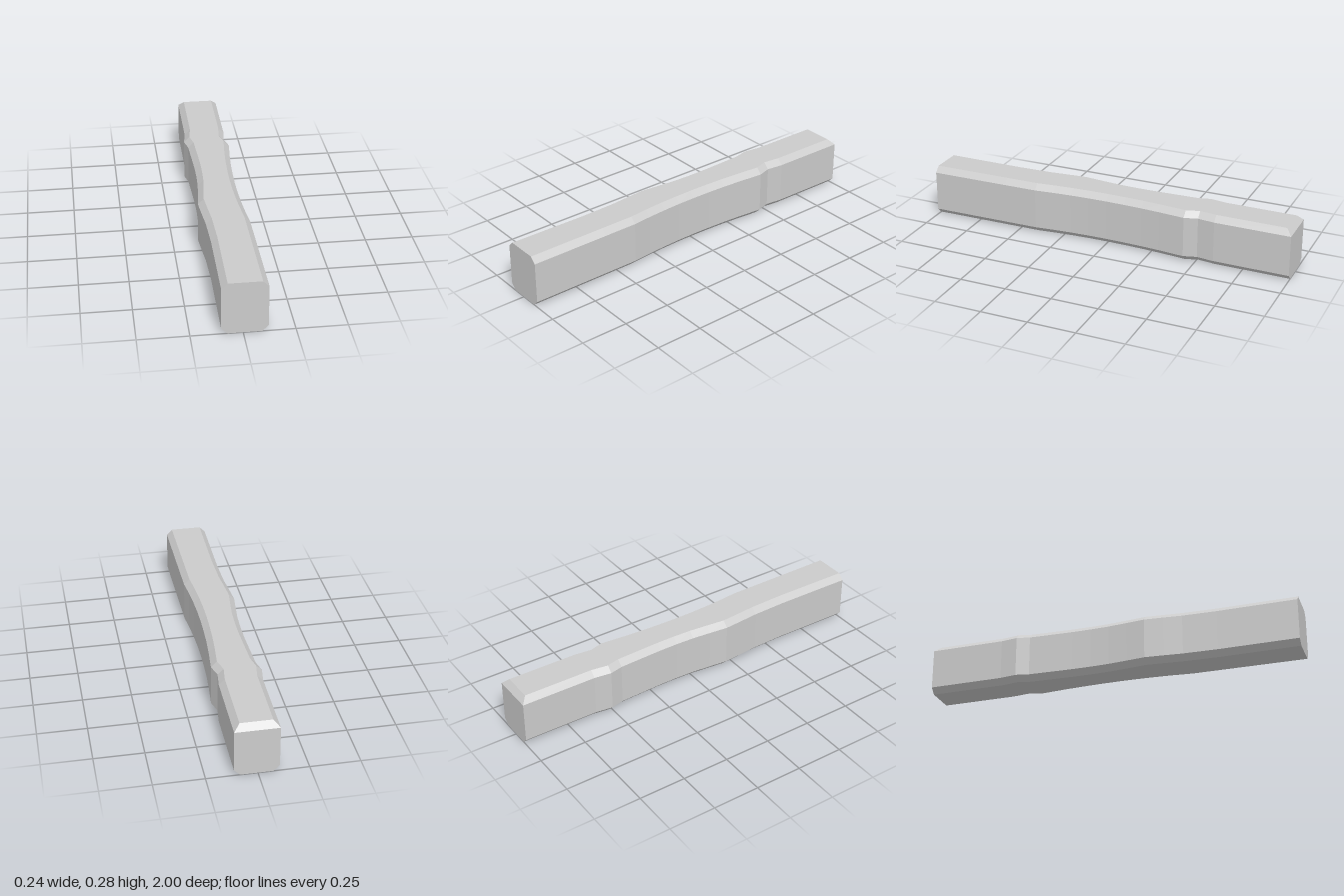
import * as THREE from 'three';

const HEIGHT = 0.275, BEVEL = 0.03;

// Stations along the beam: z, right-hand and left-hand side x
const STATIONS = [
  [1, -0.104, 0.12], [0.58, -0.1, 0.118], [0.4, -0.105, 0.117], [0.3, -0.114, 0.107],
  [0.2, -0.122, 0.1], [0.1, -0.111, 0.096], [0, -0.101, 0.095], [-0.1, -0.097, 0.097],
  [-0.2, -0.097, 0.101], [-0.3, -0.1, 0.108], [-0.44, -0.105, 0.121], [-0.51, -0.121, 0.101],
  [-0.6, -0.108, 0.112], [-0.97, -0.105, 0.115], [-1, -0.105, 0.115],
];

// Bevelled section, anticlockwise seen from the front; a clipped one folds its top corners down
function section([z, x0, x1], clipped) {
  const top = clipped ? HEIGHT - BEVEL : HEIGHT, inset = clipped ? 0 : BEVEL;
  return [
    [x0 + BEVEL, 0], [x1 - BEVEL, 0], [x1, BEVEL], [x1, HEIGHT - BEVEL],
    [x1 - inset, top], [x0 + inset, top], [x0, HEIGHT - BEVEL], [x0, BEVEL],
  ].map(([x, y]) => new THREE.Vector3(x, y, z));
}

function beamGeometry() {
  const rings = STATIONS.map((s, i) => section(s, i === STATIONS.length - 1));
  const points = [];
  const triangle = (a, b, c) => {
    if (new THREE.Triangle(a, b, c).getArea() > 1e-7) points.push(a, b, c);
  };
  // Long sides
  for (let i = 0; i < rings.length - 1; i++) {
    const front = rings[i], back = rings[i + 1];
    for (let j = 0; j < 8; j++) {
      const k = (j + 1) % 8;
      triangle(front[j], back[j], back[k]);
      triangle(front[j], back[k], front[k]);
    }
  }
  // End caps
  const first = rings[0], last = rings[rings.length - 1];
  for (let j = 1; j < 7; j++) {
    triangle(first[0], first[j], first[j + 1]);
    triangle(last[0], last[j + 1], last[j]);
  }
  const geometry = new THREE.BufferGeometry().setFromPoints(points);
  geometry.computeVertexNormals();
  return geometry;
}

export function createModel() {
  const group = new THREE.Group();
  group.name = 'woodenBeam';
  const material = new THREE.MeshStandardMaterial({ color: 0xcccccc, flatShading: true });
  const beam = new THREE.Mesh(beamGeometry(), material);
  beam.name = 'beam';
  group.add(beam);
  return group;
}
